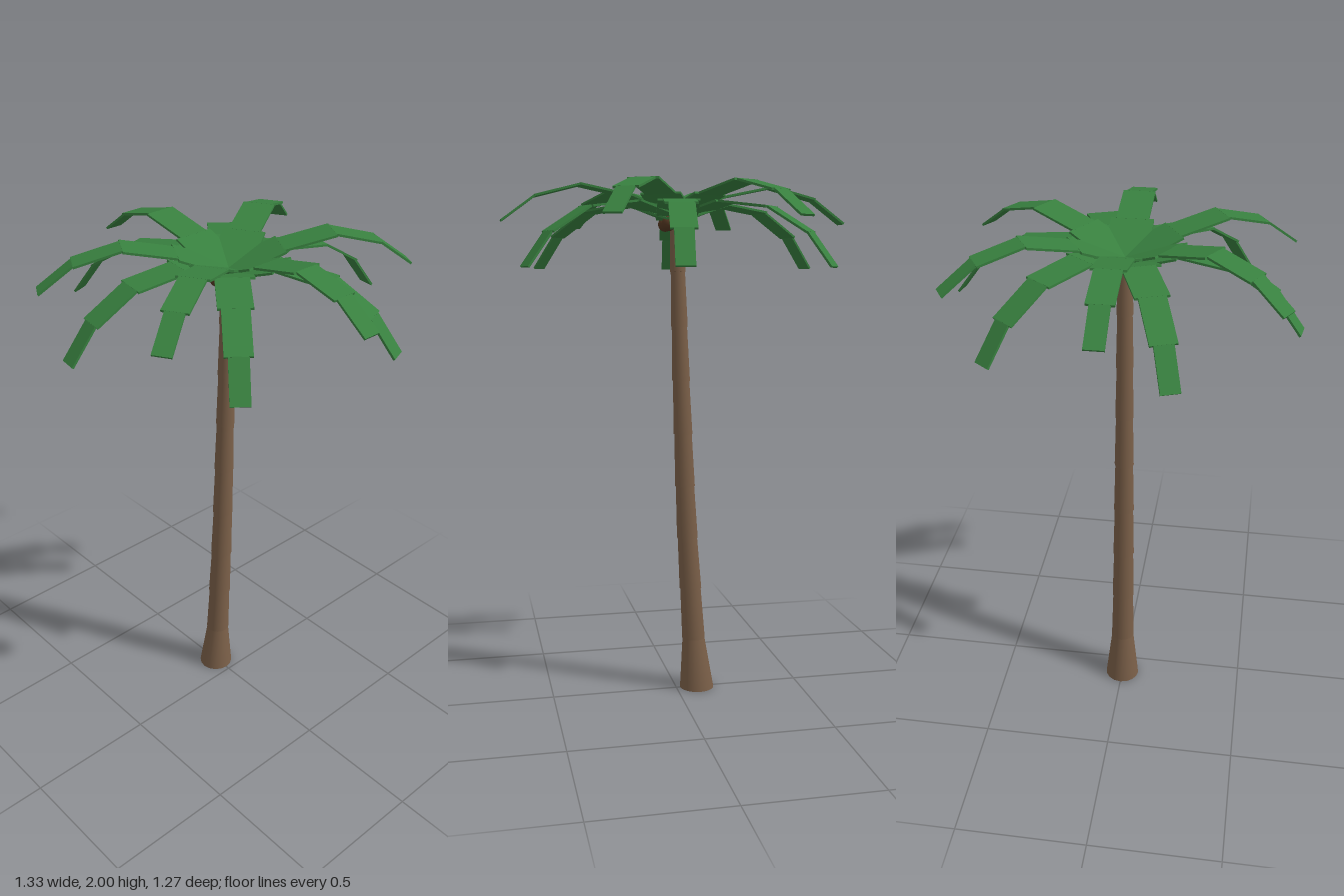
import * as THREE from 'three';

const material = (name, color) => {
  const m = new THREE.MeshStandardMaterial({ color });
  m.name = name;
  return m;
};

export function createModel() {
  const tree = new THREE.Group();
  tree.name = 'palmTree';
  const bark = material('barkBrown', 0x7a5f48);
  const leaf = material('leafGreen', 0x38803f);
  const shell = material('coconutBrown', 0x553822);

  const add = (parent, name, geometry, mat) => {
    const mesh = new THREE.Mesh(geometry, mat);
    mesh.name = name;
    parent.add(mesh);
    return mesh;
  };

  // Trunk: a flared foot, then stacked rings along a gentle lean
  const trunk = new THREE.Group();
  trunk.name = 'trunk';
  tree.add(trunk);
  const centres = [-0.085, -0.071, -0.058, -0.045, -0.035, -0.027, -0.019, -0.012, -0.006, 0];
  const step = 1.885 / 9;
  for (let i = 0; i < 9; i++) {
    const bottom = i === 0 ? 0.069 : 0.049 - 0.0023 * i;
    const top = i === 0 ? 0.045 : bottom - 0.005;
    const lean = centres[i + 1] - centres[i];
    const ring = new THREE.CylinderGeometry(top, bottom, step, 16);
    // Shear the ring so that its ends stay level
    const p = ring.attributes.position;
    for (let k = 0; k < p.count; k++) p.setX(k, p.getX(k) + lean * (p.getY(k) / step));
    const mesh = add(trunk, i === 0 ? 'trunkFoot' : 'trunkRing', ring, bark);
    mesh.position.set((centres[i] + centres[i + 1]) / 2, step * (i + 0.5), 0);
  }

  // Fronds: four narrowing plates bent along a (radius, height) profile
  const widths = [0.155, 0.118, 0.094, 0.068];
  const thick = 0.008;
  const frond = (name, profile, degrees) => {
    const group = new THREE.Group();
    group.name = name;
    group.rotation.y = THREE.MathUtils.degToRad(degrees);
    widths.forEach((width, i) => {
      const [r0, y0] = profile[i];
      const [r1, y1] = profile[i + 1];
      const length = Math.hypot(r1 - r0, y1 - y0) + 0.003;
      const plate = add(group, 'frondSegment', new THREE.BoxGeometry(length, thick, width), leaf);
      plate.position.set((r0 + r1) / 2, (y0 + y1) / 2, 0);
      plate.rotation.z = Math.atan2(y1 - y0, r1 - r0);
    });
    tree.add(group);
  };
  const upper = [[0, 1.885], [0.185, 1.957], [0.37, 1.995], [0.537, 1.952], [0.66, 1.862]];
  const lower = [[0, 1.872], [0.2, 1.932], [0.388, 1.908], [0.54, 1.815], [0.633, 1.692]];
  for (let i = 0; i < 6; i++) {
    frond('upperFrond', upper, 60 * i);
    frond('lowerFrond', lower, 60 * i + 21);
  }

  // Coconuts clustered under the crown
  for (const [x, z] of [[0.036, 0.036], [0.036, -0.036], [-0.014, 0.04], [-0.014, -0.04]]) {
    add(tree, 'coconut', new THREE.SphereGeometry(0.028, 16, 12), shell).position.set(x, 1.855, z);
  }
  return tree;
}
